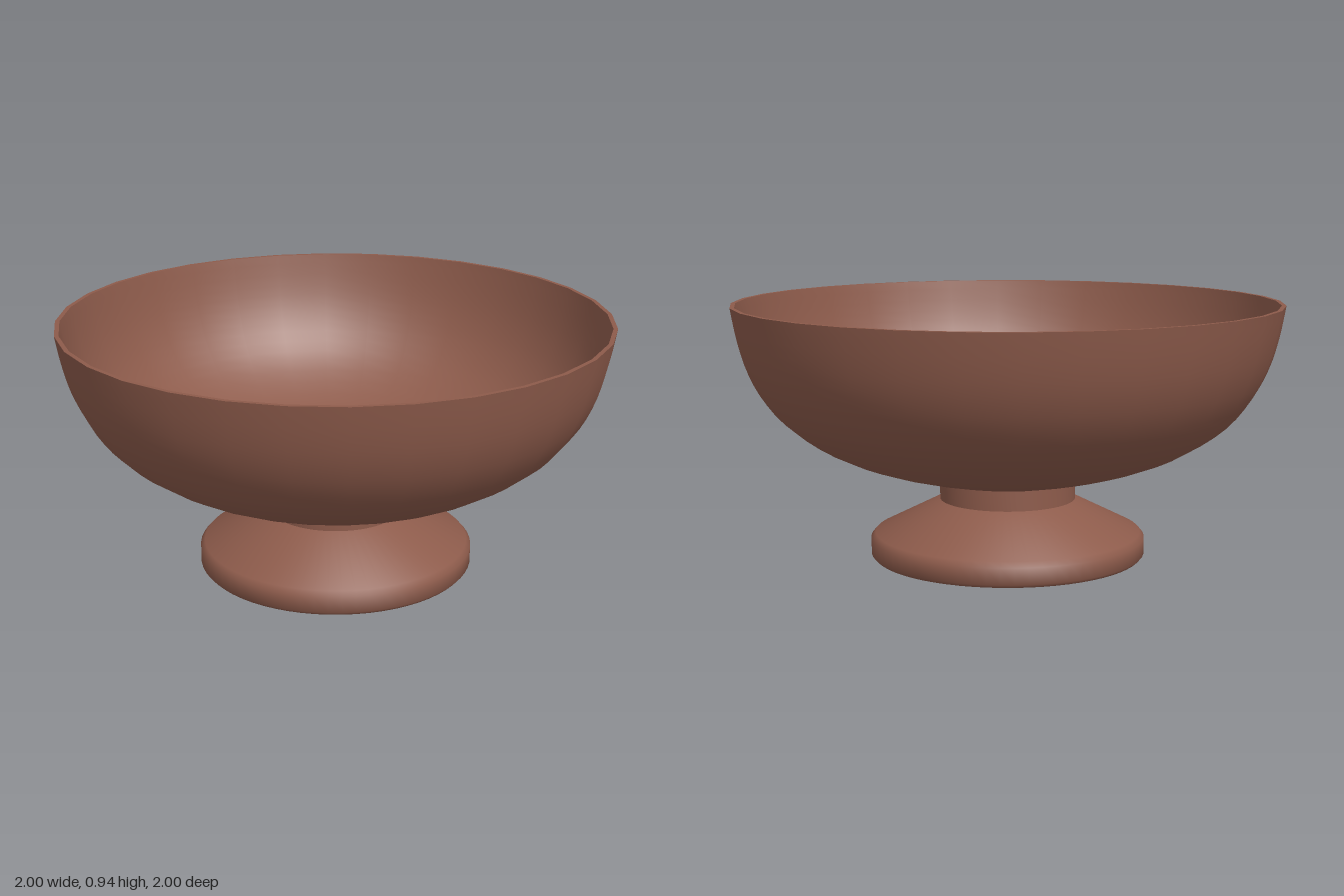
import * as THREE from 'three';
import { toCreasedNormals } from 'three/addons/utils/BufferGeometryUtils.js';

const clay = new THREE.MeshStandardMaterial({ name: 'brown clay', color: 0x8d5b4b });

// Turned part: smooth around, sharp where the profile bends strongly
function turned(name, profile, sides) {
  const points = profile.map(([r, y]) => new THREE.Vector2(r, y));
  const geometry = toCreasedNormals(new THREE.LatheGeometry(points, sides), 0.9);
  const mesh = new THREE.Mesh(geometry, clay);
  mesh.name = name;
  return mesh;
}

// Smooth curve through a few wall points, bottom to top
function wall(points, steps) {
  const curve = new THREE.SplineCurve(points.map(([r, y]) => new THREE.Vector2(r, y)));
  return curve.getPoints(steps).map((p) => [p.x, p.y]);
}

export function createModel() {
  const model = new THREE.Group();
  model.name = 'footedBowl';

  // Bowl: outer wall up to a thin rim, inner wall back down to a flat floor
  const outer = wall([[0.25, 0.285], [0.47, 0.338], [0.65, 0.405], [0.8, 0.502],
    [0.89, 0.605], [0.945, 0.71], [0.978, 0.82], [1, 0.937]], 20);
  const inner = wall([[0.25, 0.305], [0.465, 0.358], [0.64, 0.423], [0.785, 0.517],
    [0.872, 0.615], [0.926, 0.717], [0.96, 0.823], [0.984, 0.937]], 20);
  model.add(turned('bowl', [[0, 0.285], ...outer, ...inner.reverse(), [0, 0.305]], 32));

  // Foot: disc with softened edges, sloping shoulder and short stem
  model.add(turned('foot', [[0, 0], [0.495, 0], [0.506, 0.012], [0.506, 0.072],
    [0.49, 0.09], [0.25, 0.212], [0.25, 0.29]], 64));

  return model;
}
